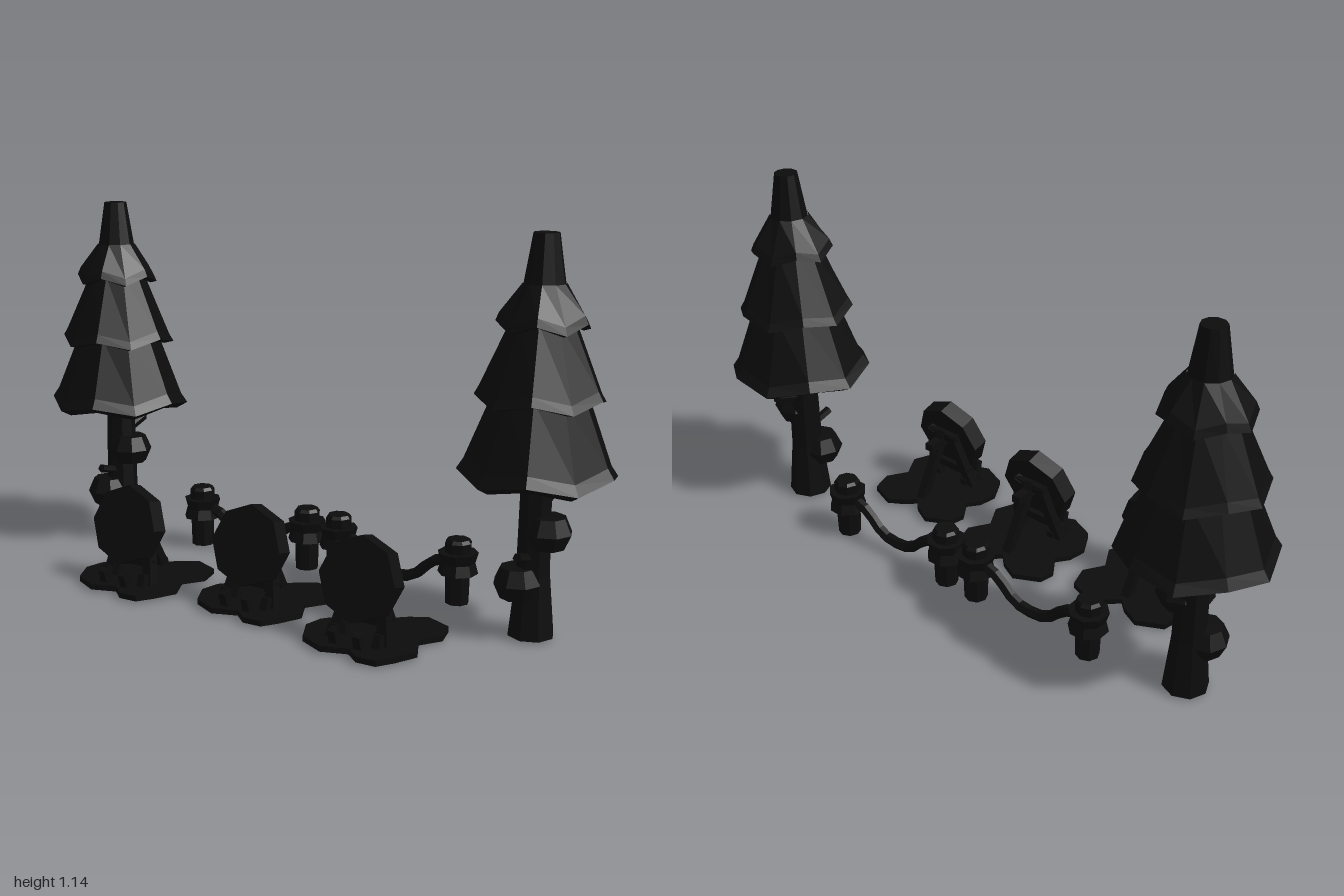
import * as THREE from 'three';

const charcoal = new THREE.MeshStandardMaterial({ color: 0x0c0c0c, flatShading: true });
charcoal.name = 'charcoal';

function add(parent, name, geometry, x = 0, y = 0, z = 0) {
  const mesh = new THREE.Mesh(geometry, charcoal);
  mesh.name = name;
  mesh.position.set(x, y, z);
  parent.add(mesh);
  return mesh;
}

// Straight bar between two points, round or square in section
function bar(parent, name, a, b, r0, r1 = r0, sides = 4) {
  const from = new THREE.Vector3(...a), to = new THREE.Vector3(...b);
  const dir = to.clone().sub(from);
  const geometry = new THREE.CylinderGeometry(r1, r0, dir.length(), sides);
  if (sides === 4) geometry.rotateY(Math.PI / 4);
  const mesh = add(parent, name, geometry);
  mesh.position.copy(from).add(to).multiplyScalar(0.5);
  mesh.quaternion.setFromUnitVectors(new THREE.Vector3(0, 1, 0), dir.normalize());
  return mesh;
}

function lathe(points, sides) {
  return new THREE.LatheGeometry(points.map(p => new THREE.Vector2(...p)), sides, Math.PI / 2);
}

// Foliage tier whose lower rim rises and falls from corner to corner
function tier(profile, rimRows) {
  const sides = 10, geometry = lathe(profile, sides), pos = geometry.attributes.position;
  for (let i = 0; i <= sides; i++) {
    for (let j = 1; j <= rimRows; j++) {
      const k = i * profile.length + j;
      pos.setY(k, pos.getY(k) + (i % 2 ? -0.012 : 0.012));
    }
  }
  return geometry;
}

function makeTree(x, z) {
  const tree = new THREE.Group();
  tree.name = 'tree';
  tree.position.set(x, 0, z);
  add(tree, 'trunk', lathe([[0, 0], [0.068, 0], [0.05, 0.18], [0.045, 0.5], [0, 0.5]], 8));
  add(tree, 'lowerFoliage', tier([[0.03, 0.48], [0.19, 0.456], [0.225, 0.475], [0.205, 0.505], [0.13, 0.7]], 3));
  add(tree, 'middleFoliage', tier([[0.03, 0.7], [0.15, 0.678], [0.182, 0.685], [0.168, 0.71], [0.088, 0.9]], 3));
  add(tree, 'upperFoliage', tier([[0.03, 0.9], [0.11, 0.882], [0.13, 0.887], [0.12, 0.91], [0.06, 1.0]], 3));
  add(tree, 'treeTip', lathe([[0.059, 0.99], [0.036, 1.135], [0, 1.135]], 10));
  // Rounded growths and twigs on the trunk
  const knob = [[0, -0.045], [0.05, -0.045], [0.07, 0], [0.05, 0.045], [0, 0.045]];
  add(tree, 'upperKnob', lathe(knob, 8), 0.04, 0.31, 0);
  add(tree, 'lowerKnob', lathe(knob, 8), -0.03, 0.16, 0.035);
  bar(tree, 'frontTwig', [0, 0.235, 0.03], [0, 0.255, 0.105], 0.014, 0.014, 5);
  bar(tree, 'backTwig', [0, 0.365, -0.03], [0, 0.395, -0.115], 0.016, 0.016, 5);
  return tree;
}

// Lobed outline of the ground patch, in hundredths of a unit
const lobes = [[-17, -14], [-9, -18], [-3, -15], [0, -12], [3, -15], [8, -18], [16, -15], [18, -8],
  [14, -1.5], [18, 6], [15, 13], [12, 18], [6, 18.5], [1.5, 15], [-6, 18], [-14, 14.5], [-18, 7],
  [-17, 1], [-14, -3], [-18, -9]];

function makeTarget(x, z) {
  const target = new THREE.Group();
  target.name = 'targetStand';
  target.position.set(x, 0, z);
  const outline = new THREE.Shape(lobes.map(([a, b]) => new THREE.Vector2(a / 100, -b / 100)));
  const patch = new THREE.ExtrudeGeometry(outline, { depth: 0.017, bevelEnabled: false });
  add(target, 'groundPatch', patch.rotateX(-Math.PI / 2), 0, 0, -0.065);
  // Tilted straw disc
  const disc = new THREE.CylinderGeometry(0.123, 0.123, 0.055, 8).rotateX(Math.PI / 2);
  add(target, 'disc', disc, 0, 0.19, 0).rotation.x = -0.245;
  // Easel
  for (const s of [-1, 1]) {
    bar(target, 'frontLeg', [s * 0.085, 0, 0.008], [s * 0.04, 0.22, -0.048], 0.022);
    for (const [px, pz, h, lean] of [[0.04, 0.07, 0.06, 0.02], [0.075, 0.03, 0.05, -0.015], [0.06, -0.005, 0.045, -0.015]]) {
      bar(target, 'groundPeg', [s * px, 0, pz - lean / 2], [s * px, h, pz + lean / 2], 0.02, 0.016);
    }
  }
  bar(target, 'backLeg', [0, 0, -0.165], [0, 0.22, -0.045], 0.02);
  add(target, 'lowerRail', new THREE.BoxGeometry(0.17, 0.025, 0.02), 0, 0.075, -0.012);
  add(target, 'upperRail', new THREE.BoxGeometry(0.12, 0.025, 0.025), 0, 0.21, -0.048);
  add(target, 'brace', new THREE.BoxGeometry(0.03, 0.025, 0.08), 0, 0.19, -0.08);
  return target;
}

// Two posts with wound rope bands and a sagging rope between them
function makeFence(x) {
  const fence = new THREE.Group();
  fence.name = 'ropeFence';
  fence.position.set(x, 0, -0.21);
  for (const s of [-1, 1]) {
    add(fence, 'post', lathe([[0, 0], [0.036, 0], [0.041, 0.19], [0.034, 0.2], [0, 0.2]], 8), s * 0.2125);
    const band = lathe([[0.036, 0.095], [0.061, 0.095], [0.052, 0.128], [0.061, 0.16], [0.036, 0.16]], 8);
    add(fence, 'ropeBand', band.rotateY(Math.PI / 8), s * 0.2125);
  }
  const sag = [[-0.2125, 0.14], [-0.13, 0.115], [-0.06, 0.056], [0, 0.045], [0.06, 0.056], [0.13, 0.115], [0.2125, 0.14]];
  const curve = new THREE.CatmullRomCurve3(sag.map(([a, b]) => new THREE.Vector3(a, b, 0)));
  add(fence, 'rope', new THREE.TubeGeometry(curve, 12, 0.018, 6));
  return fence;
}

export function createModel() {
  const model = new THREE.Group();
  model.name = 'archeryRange';
  model.add(makeTree(-0.775, -0.137), makeTree(0.775, -0.11));
  for (const [x, z] of [[-0.425, 0.228], [0, 0.173], [0.42, 0.228]]) model.add(makeTarget(x, z));
  for (const x of [-0.2725, 0.2725]) model.add(makeFence(x));
  return model;
}
